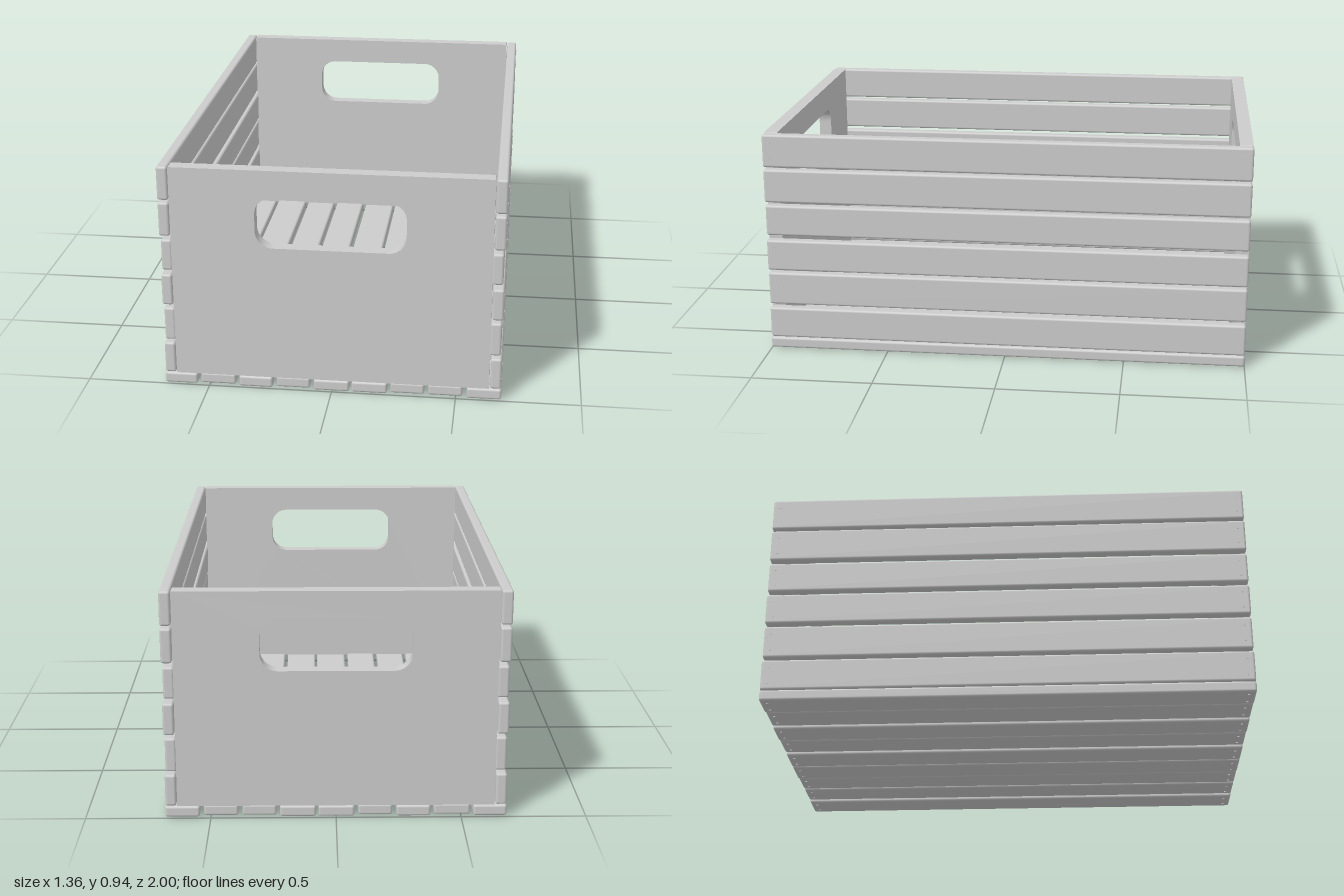
import * as THREE from 'three';
import { RoundedBoxGeometry } from 'three/addons/geometries/RoundedBoxGeometry.js';

const material = new THREE.MeshStandardMaterial({ color: 0xcccccc });

function add(parent, name, geometry, x = 0, y = 0, z = 0) {
  const mesh = new THREE.Mesh(geometry, material);
  mesh.name = name;
  mesh.position.set(x, y, z);
  parent.add(mesh);
  return mesh;
}

// Rectangle with rounded corners, as a Shape or a Path
function roundedRect(path, x0, y0, x1, y1, r) {
  path.moveTo(x0 + r, y0);
  path.lineTo(x1 - r, y0);
  path.absarc(x1 - r, y0 + r, r, -Math.PI / 2, 0);
  path.lineTo(x1, y1 - r);
  path.absarc(x1 - r, y1 - r, r, 0, Math.PI / 2);
  path.lineTo(x0 + r, y1);
  path.absarc(x0 + r, y1 - r, r, Math.PI / 2, Math.PI);
  path.lineTo(x0, y0 + r);
  path.absarc(x0 + r, y0 + r, r, Math.PI, Math.PI * 1.5);
  return path;
}

function endPanelGeometry() {
  const shape = roundedRect(new THREE.Shape(), -0.633, 0.055, 0.633, 0.942, 0.004);
  shape.holes.push(roundedRect(new THREE.Path(), -0.297, 0.62, 0.297, 0.83, 0.07));
  const geometry = new THREE.ExtrudeGeometry(shape, { depth: 0.055, bevelEnabled: false, curveSegments: 8 });
  return geometry.translate(0, 0, -0.0275);
}

export function createModel() {
  const crate = new THREE.Group();
  crate.name = 'crate';
  const nail = new THREE.CylinderGeometry(0.005, 0.005, 0.008, 8);

  // End panels with hand holes
  const panel = endPanelGeometry();
  add(crate, 'frontPanel', panel, 0, 0, 0.9715);
  add(crate, 'backPanel', panel, 0, 0, -0.9715);

  // Side slats: bottom edge, top edge, outward shift on the left and on the right
  const sideRows = [
    [0.055, 0.187, 0, 0],
    [0.202, 0.342, -0.005, -0.006],
    [0.355, 0.487, 0, 0],
    [0.507, 0.637, -0.006, -0.006],
    [0.652, 0.793, 0, 0],
    [0.803, 0.942, 0, 0],
  ];
  for (const side of [1, -1]) {
    const wall = new THREE.Group();
    wall.name = side > 0 ? 'leftWall' : 'rightWall';
    crate.add(wall);
    for (const [y0, y1, shiftLeft, shiftRight] of sideRows) {
      const x = side * (0.658 + (side > 0 ? shiftLeft : shiftRight));
      const y = (y0 + y1) / 2;
      add(wall, 'sideSlat', new RoundedBoxGeometry(0.044, y1 - y0, 2, 2, 0.01), x, y);
      // Two nails at each end
      for (const z of [-0.97, 0.97]) for (const dy of [-0.035, 0.035]) {
        add(wall, 'sideNail', nail, x + side * 0.02, y + dy, z).rotation.z = Math.PI / 2;
      }
    }
  }

  // Floor slats: left edge, right edge, height shift
  const floorRows = [
    [-0.682, -0.549, 0],
    [-0.535, -0.391, 0.006],
    [-0.377, -0.241, 0],
    [-0.224, -0.088, 0.006],
    [-0.073, 0.071, 0],
    [0.081, 0.224, 0],
    [0.238, 0.374, 0.006],
    [0.39, 0.527, 0.006],
    [0.544, 0.682, 0],
  ];
  const floor = new THREE.Group();
  floor.name = 'floor';
  crate.add(floor);
  for (const [x0, x1, shift] of floorRows) {
    const x = (x0 + x1) / 2;
    const y = 0.03 + shift;
    add(floor, 'floorSlat', new RoundedBoxGeometry(x1 - x0, 0.046, 2, 2, 0.01), x, y);
    for (const z of [-0.97, 0.97]) for (const dx of [-0.035, 0.035]) {
      add(floor, 'floorNail', nail, x + dx, y - 0.023, z);
    }
  }

  return crate;
}
